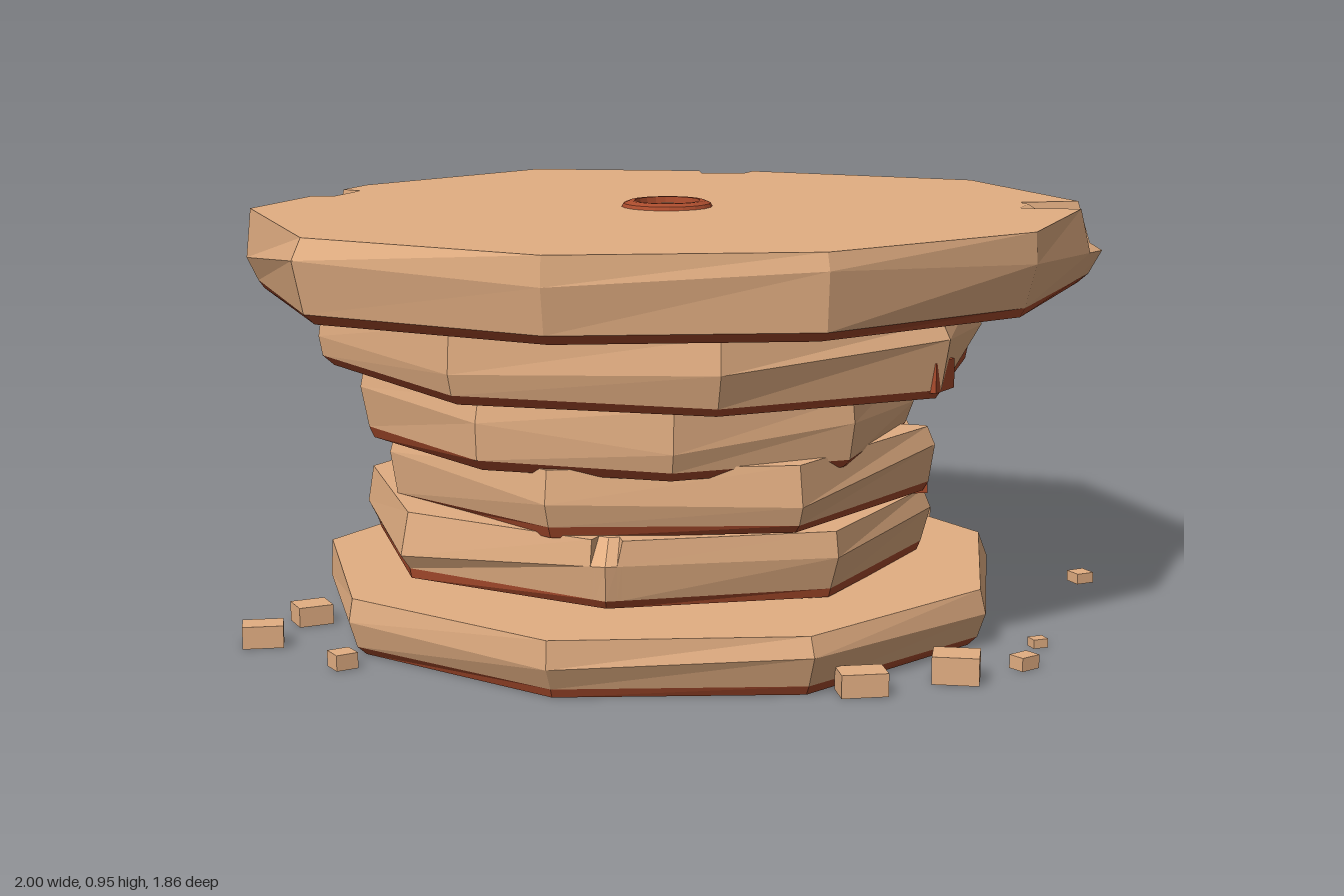
import * as THREE from 'three';

const stone = new THREE.MeshStandardMaterial({ name: 'sandstone', color: 0xe2ae82 });
const rust = new THREE.MeshStandardMaterial({ name: 'rust', color: 0xaa4c2d });
const dark = new THREE.MeshStandardMaterial({ name: 'dark maroon', color: 0x572426 });

// Small seeded random generator
function seeded(seed) {
  let s = seed;
  return () => (s = (s * 16807) % 2147483647) / 2147483647;
}

function meshFrom(points, material, name) {
  const geo = new THREE.BufferGeometry().setFromPoints(points);
  geo.computeVertexNormals();
  const mesh = new THREE.Mesh(geo, material);
  mesh.name = name;
  return mesh;
}

// Rough polygonal slab: bulging rim, rusty band below, chips knocked out of the top edge.
// chips: [rim position, half width, inset]; raised: band height at a corner;
// mids: relative height of the bulge at a corner; rustFaces: sides whose upper facet is rusty
function slab({ name, seed, sides, turn = 0, radii, h, at, tiltX = 0, tiltZ = 0,
  chips = [], raised = {}, mids = {}, rustFaces = [], hole = 0 }) {
  const rnd = seeded(seed);
  const corners = radii.map((radius, i) => {
    const a = (i / sides) * Math.PI * 2 + turn;
    const point = (k, y) => new THREE.Vector3(Math.cos(a) * radius * k, y, Math.sin(a) * radius * k);
    return [
      point(0.972 + 0.028 * rnd(), h),
      point(1, h * (mids[i] || 0.35 + 0.45 * rnd())),
      point(0.965 + 0.025 * rnd(), raised[i] || 0.018 + 0.008 * rnd()),
      point(0.945 + 0.015 * rnd(), 0),
    ];
  });

  // Stations around the rim: the corners plus the ends of each chip
  const ts = corners.map((_, i) => i);
  for (const [t, w] of chips) ts.push(...[-w, 0.02 - w, w - 0.02, w].map((d) => (t + d + sides) % sides));
  ts.sort((a, b) => a - b);
  const rim = ts.map((t) => {
    const i = Math.floor(t);
    const ring = corners[i].map((p, k) => p.clone().lerp(corners[(i + 1) % sides][k], t - i));
    for (const [c, w, inset] of chips) {
      const d = Math.abs(t - c);
      if (Math.min(d, sides - d) < w - 0.01) {
        ring[0].x *= inset;
        ring[0].z *= inset;
      }
    }
    return ring;
  });

  const body = [], band = [];
  const quad = (list, a, b, c, d) => list.push(a, b, d, a, d, c);
  const inner = (p) => new THREE.Vector3(p.x, 0, p.z).setLength(hole).setY(h);
  rim.forEach((p, i) => {
    const q = rim[(i + 1) % rim.length];
    if (hole) quad(body, inner(p[0]), inner(q[0]), p[0], q[0]);
    else body.push(new THREE.Vector3(0, h, 0), q[0], p[0]);
    quad(rustFaces.includes(Math.floor(ts[i])) ? band : body, p[0], q[0], p[1], q[1]);
    quad(body, p[1], q[1], p[2], q[2]);
    quad(band, p[2], q[2], p[3], q[3]);
    body.push(new THREE.Vector3(), p[3], q[3]);
  });
  const group = new THREE.Group();
  group.name = name;
  group.add(meshFrom(body, stone, 'slabBody'), meshFrom(band, rust, 'rustBand'));
  group.position.set(...at);
  group.rotation.set(tiltX, 0, tiltZ);
  return group;
}

// Faceted ring from a profile
function lathe(points, material, name) {
  const profile = points.map(([x, y]) => new THREE.Vector2(x, y));
  const geo = new THREE.LatheGeometry(profile, 20).toNonIndexed();
  geo.computeVertexNormals();
  const mesh = new THREE.Mesh(geo, material);
  mesh.name = name;
  return mesh;
}

function block(name, material, size, position, turn) {
  const mesh = new THREE.Mesh(new THREE.BoxGeometry(...size), material);
  mesh.name = name;
  mesh.position.set(...position);
  mesh.rotation.y = turn;
  return mesh;
}

export function createModel() {
  const model = new THREE.Group();
  model.name = 'stackedStonePedestal';

  // Stacked slabs, from the ground up
  const slabs = [
    { name: 'baseSlab', seed: 11, sides: 9, turn: -0.175, h: 0.13, at: [-0.05, 0.01, 0.07],
      radii: [0.8, 0.8, 0.81, 0.8, 0.81, 0.8, 0.78, 0.73, 0.79] },
    { name: 'secondSlab', seed: 523, sides: 8, turn: 0.164, h: 0.15, at: [-0.09, 0.147, -0.01],
      radii: [0.67, 0.68, 0.67, 0.68, 0.67, 0.68, 0.67, 0.68], tiltZ: -0.018, tiltX: -0.005,
      mids: { 5: 0.68, 6: 0.65 }, rustFaces: [5], chips: [[2, 0.07, 0.94], [6.5, 0.13, 0.9]] },
    { name: 'thirdSlab', seed: 3701, sides: 7, turn: 0.224, h: 0.15, at: [-0.05, 0.293, 0.04],
      radii: [0.635, 0.63, 0.63, 0.64, 0.63, 0.61, 0.63], tiltZ: 0.008, tiltX: -0.012,
      chips: [[6.85, 0.12, 0.91]] },
    { name: 'fourthSlab', seed: 907, sides: 9, turn: 0.087, h: 0.155, at: [-0.11, 0.432, 0.045],
      radii: [0.64, 0.64, 0.62, 0.63, 0.65, 0.64, 0.63, 0.62, 0.63], tiltZ: -0.02, tiltX: 0.004,
      chips: [[6.5, 0.13, 0.92]] },
    { name: 'fifthSlab', seed: 4409, sides: 8, turn: 0.654, h: 0.168, at: [-0.06, 0.584, 0.05],
      radii: [0.76, 0.73, 0.76, 0.78, 0.76, 0.7, 0.74, 0.775], tiltZ: -0.02, tiltX: -0.005,
      raised: { 7: 0.055 } },
    { name: 'topSlab', seed: 77, sides: 10, h: 0.183, at: [-0.04, 0.762, 0.05], hole: 0.07,
      radii: [1.01, 0.93, 0.91, 0.925, 0.985, 0.96, 0.92, 1.005, 0.91, 0.995],
      chips: [[0.05, 0.15, 0.85], [7.86, 0.12, 0.93], [5.65, 0.14, 0.94]] },
  ];
  for (const s of slabs) model.add(slab(s));

  // Raised rusty collar around the socket in the top slab
  const socket = new THREE.Group();
  socket.name = 'socket';
  socket.position.set(-0.04, 0.945, 0.05);
  const floor = new THREE.Mesh(new THREE.CircleGeometry(0.075, 20), dark);
  floor.name = 'socketFloor';
  floor.rotation.x = -Math.PI / 2;
  floor.position.y = -0.14;
  socket.add(
    lathe([[0.105, -0.002], [0.1, 0.008], [0.085, 0.014], [0.075, 0.014], [0.069, -0.02]], rust, 'collar'),
    lathe([[0.07, -0.01], [0.07, -0.15]], stone, 'socketWall'),
    floor,
  );
  model.add(socket);

  // Rusty patches exposed where the slabs are chipped: size, position, turn
  const patches = [
    [[0.05, 0.065, 0.09], [0.52, 0.622, 0.47], -0.6],
    [[0.06, 0.04, 0.13], [0.525, 0.31, 0.1], 0],
    [[0.06, 0.03, 0.1], [0.41, 0.455, -0.28], 0.5],
    [[0.1, 0.03, 0.06], [-0.45, 0.287, -0.51], 0.8],
  ];
  for (const [size, position, turn] of patches) model.add(block('rustPatch', rust, size, position, turn));

  // Rubble around the base: x, z, width, height, depth, turn
  const rubble = [
    [-0.95, 0.37, 0.09, 0.05, 0.065, 0.1], [-0.76, 0.55, 0.05, 0.035, 0.05, 0.5],
    [-0.86, 0.19, 0.08, 0.045, 0.07, 0.4], [0.07, -0.89, 0.06, 0.045, 0.08, 0],
    [0.62, -0.66, 0.11, 0.06, 0.09, 0.3], [0.97, -0.08, 0.045, 0.025, 0.045, 0.4],
    [0.7, 0.63, 0.05, 0.03, 0.04, 0.6], [0.54, 0.71, 0.1, 0.06, 0.08, -0.2],
    [0.33, 0.79, 0.1, 0.05, 0.07, 0.1], [0.76, 0.47, 0.035, 0.02, 0.03, 0.3],
    [-0.06, -0.76, 0.05, 0.055, 0.06, 0.1], [-0.33, -0.71, 0.05, 0.03, 0.04, 0.5],
    [-0.46, -0.69, 0.06, 0.04, 0.05, 0.8],
  ];
  for (const [x, z, w, h, d, turn] of rubble) {
    model.add(block('rubbleBlock', stone, [w, h, d], [x, 0.01 + h / 2, z], turn));
  }
  return model;
}
